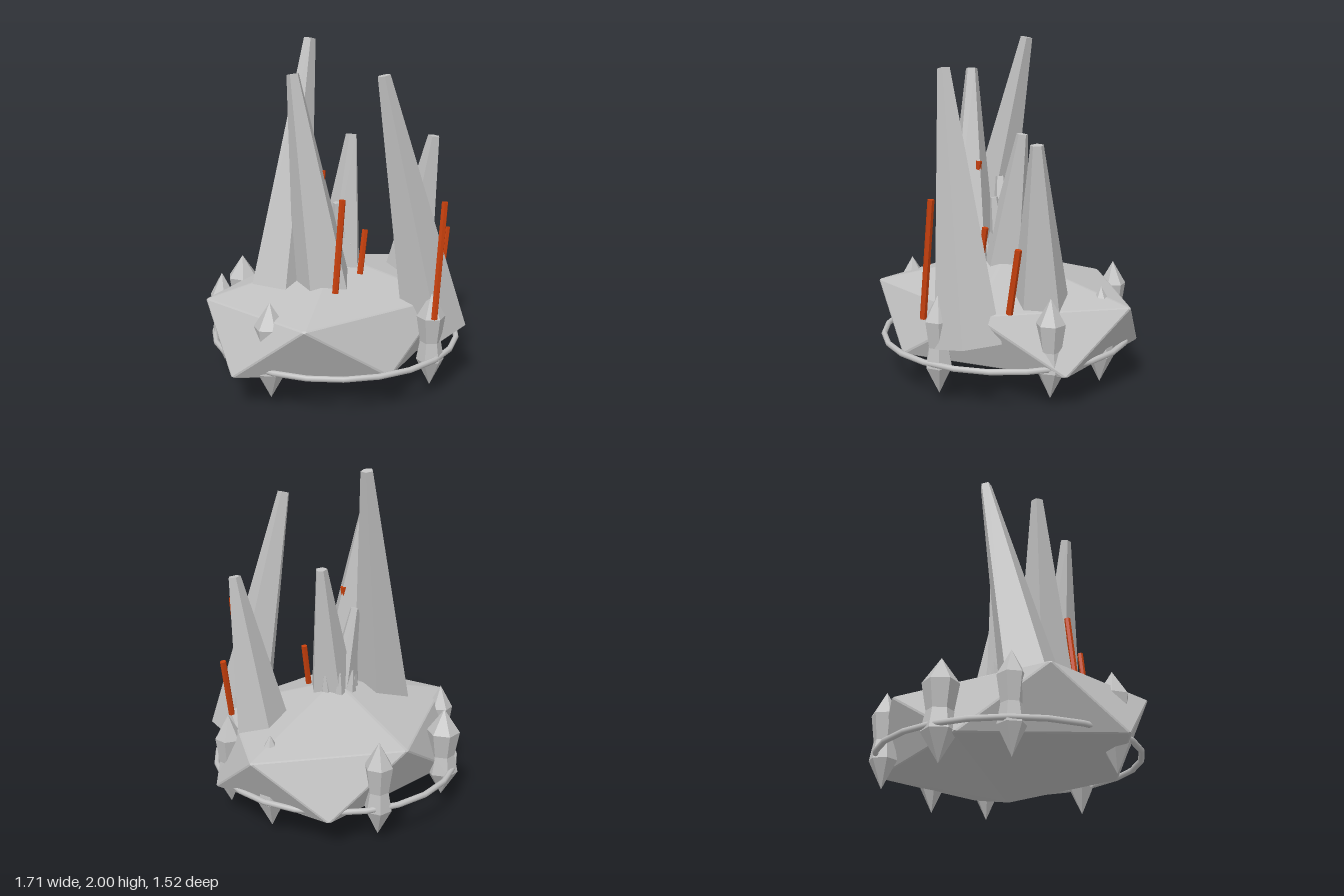
import * as THREE from 'three';
import { ConvexGeometry } from 'three/addons/geometries/ConvexGeometry.js';

const UP = new THREE.Vector3(0, 1, 0);
const CZ = -0.016; // depth of the rock's centre

function faceted(geo) {
  const g = geo.toNonIndexed();
  g.computeVertexNormals();
  return g;
}

export function createModel() {
  const model = new THREE.Group();
  const stone = new THREE.MeshStandardMaterial({ color: 0xc0c0c0 });
  stone.name = 'pale grey stone';
  const rust = new THREE.MeshStandardMaterial({ color: 0xc8400c });
  rust.name = 'burnt orange';

  function add(name, geo, mat = stone) {
    const mesh = new THREE.Mesh(geo, mat);
    mesh.name = name;
    model.add(mesh);
    return mesh;
  }

  // Tapered prism running from one point to another
  function spike(name, from, to, rBase, rTip, sides = 5, turn = 0, mat = stone) {
    const a = new THREE.Vector3(...from), b = new THREE.Vector3(...to);
    const dir = b.clone().sub(a);
    const geo = new THREE.CylinderGeometry(rTip, rBase, dir.length(), sides);
    geo.rotateY(THREE.MathUtils.degToRad(turn));
    const mesh = add(name, faceted(geo), mat);
    mesh.position.copy(a).add(b).multiplyScalar(0.5);
    mesh.quaternion.setFromUnitVectors(UP, dir.normalize());
    return mesh;
  }

  // Flattened twenty-sided rock with narrow bevels on its edges
  const corners = [new THREE.Vector3(0, 1, 0), new THREE.Vector3(0, -1, 0)];
  const ringY = 1 / Math.sqrt(5), ringR = 2 / Math.sqrt(5);
  for (let i = 0; i < 10; i++) {
    const t = i * Math.PI / 5;
    corners.push(new THREE.Vector3(ringR * Math.cos(t), i % 2 ? -ringY : ringY, ringR * Math.sin(t)));
  }
  const near = (p, q) => p.distanceTo(q) < 1.1;
  const inset = [];
  for (let i = 0; i < 12; i++) for (let j = i + 1; j < 12; j++) for (let k = j + 1; k < 12; k++) {
    const tri = [corners[i], corners[j], corners[k]];
    if (!near(tri[0], tri[1]) || !near(tri[1], tri[2]) || !near(tri[0], tri[2])) continue;
    const mid = tri[0].clone().add(tri[1]).add(tri[2]).divideScalar(3);
    for (const c of tri) {
      inset.push(c.clone().lerp(mid, 0.035).multiplyScalar(1.01)
        .multiply(new THREE.Vector3(0.95, 0.355, 0.783 * 0.95)));
    }
  }
  const rock = add('floatingRock', new ConvexGeometry(inset));
  rock.position.set(0, 0.355, CZ);

  // Thin ring round the rock
  const ring = add('ring', new THREE.TorusGeometry(0.744, 0.017, 8, 24));
  ring.rotation.x = Math.PI / 2;
  ring.position.set(0, 0.233, CZ);

  // Double-pointed crystals along the ring
  const profile = [[0, 0.05], [0.08, 0.21], [0.06, 0.32], [0.082, 0.47], [0, 0.61]]
    .map(([r, y]) => new THREE.Vector2(r, y));
  const crystalGeo = faceted(new THREE.LatheGeometry(profile, 6));
  [[0.67, -0.01, 1], [0.58, 0.36, 1], [0.05, 0.665, 1], [-0.67, 0.1, 1.1],
    [-0.5, -0.49, 0.95], [-0.17, -0.67, 1.2], [0.43, -0.565, 1]].forEach(([x, z, s], i) => {
    const crystal = add('ringCrystal' + (i + 1), crystalGeo);
    crystal.position.set(x, 0, z);
    crystal.scale.set(s, 1, s);
    crystal.rotation.y = i * 0.9;
  });

  // Tall leaning spires
  spike('leftSpire', [-0.21, 0.58, 0.08], [-0.3, 1.81, -0.065], 0.18, 0.037);
  spike('backSpire', [-0.32, 0.56, -0.17], [0, 1.995, -0.22], 0.185, 0.037, 5, 36);
  spike('frontSpire', [0.2, 0.33, 0.575], [-0.1, 1.815, 0.42], 0.195, 0.037, 5, 28);
  spike('rightSpire', [0.425, 0.5, 0.23], [0.48, 1.42, 0.355], 0.17, 0.037);
  spike('middleSpire', [0, 0.6, 0.01], [0.13, 1.435, 0], 0.15, 0.035);
  spike('slimSpire', [-0.02, 0.62, -0.03], [-0.1, 1.16, -0.09], 0.1, 0.03);
  spike('shortSpire', [0, 0.62, 0.02], [-0.05, 1.05, 0.04], 0.08, 0.025);

  // Crown of small shards at the summit
  for (let i = 0; i < 8; i++) {
    const t = i * Math.PI / 4, c = Math.cos(t), s = Math.sin(t);
    spike('summitShard' + (i + 1), [0.1 * c, 0.63, CZ + 0.1 * s],
      [0.12 * c, 0.8, CZ + 0.12 * s], 0.045, 0.006);
  }

  // Slanted glowing rods
  [[[-0.3, 0.6, 0.25], [-0.24, 1.13, 0.25]],
    [[-0.005, 0.48, 0.725], [0.065, 1.14, 0.725]],
    [[0.397, 0.52, 0.485], [0.457, 0.88, 0.485]],
    [[-0.205, 0.95, 0.035], [-0.167, 1.26, 0.035]],
    [[-0.03, 0.64, 0.205], [0.015, 0.9, 0.205]]].forEach(([a, b], i) => {
    spike('rod' + (i + 1), a, b, 0.019, 0.019, 6, 0, rust);
  });

  return model;
}
